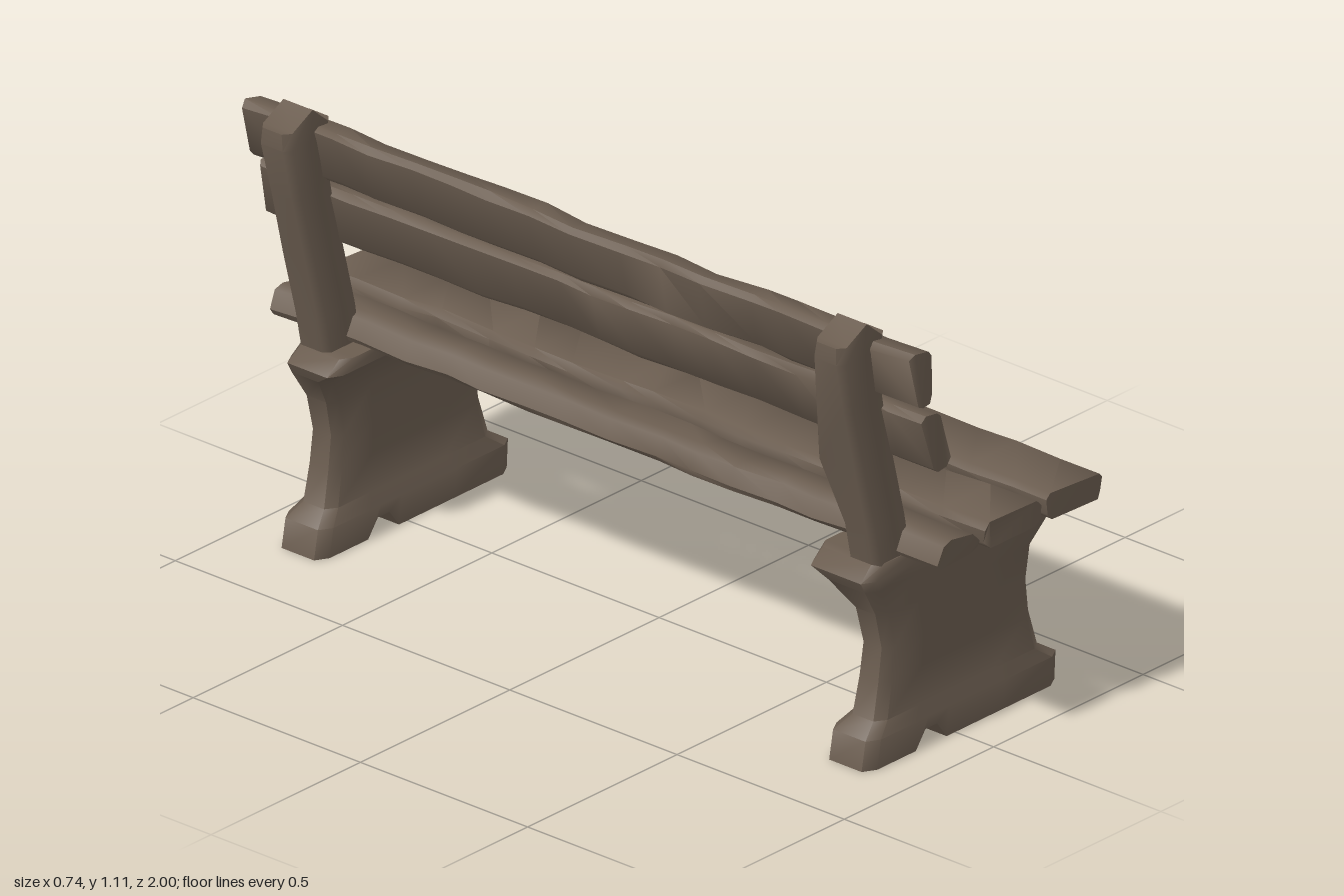
import * as THREE from 'three';
import { toCreasedNormals } from 'three/addons/utils/BufferGeometryUtils.js';

// Skins a stack of equal-length rings (counter-clockwise about the stacking axis), capped at both ends
function loft(rings) {
  const n = rings[0].length, last = (rings.length - 1) * n, index = [];
  for (let r = 0; r < rings.length - 1; r++) {
    for (let i = 0; i < n; i++) {
      const a = r * n + i, b = r * n + (i + 1) % n;
      index.push(a, b, b + n, a, b + n, a + n);
    }
  }
  for (let i = 0; i < n / 2 - 1; i++) {
    const a = i, b = i + 1, c = n - 2 - i, d = n - 1 - i;
    index.push(a, c, b, a, d, c);
    index.push(last + a, last + b, last + c, last + a, last + c, last + d);
  }
  const geo = new THREE.BufferGeometry();
  geo.setAttribute('position', new THREE.Float32BufferAttribute(rings.flat(2), 3));
  geo.setIndex(index);
  return toCreasedNormals(geo, 0.87);
}

function seeded(seed) {
  return () => {
    seed = (seed * 16807) % 2147483647;
    return seed / 2147483647 - 0.5;
  };
}

// Rough-hewn plank along z; corners run counter-clockwise in x, y and get chamfered
function plank(corners, seed) {
  const rnd = seeded(seed), segs = 16, rings = [];
  const section = [];
  corners.forEach((p, i) => {
    for (const q of [corners[(i + 3) % 4], corners[(i + 1) % 4]]) {
      const len = Math.hypot(q[0] - p[0], q[1] - p[1]);
      const t = 0.016 / len;
      section.push([p[0] + (q[0] - p[0]) * t, p[1] + (q[1] - p[1]) * t]);
    }
  });
  const cx = corners.reduce((s, p) => s + p[0], 0) / 4;
  const cy = corners.reduce((s, p) => s + p[1], 0) / 4;
  for (let k = 0; k <= segs; k++) {
    const end = k === 0 || k === segs;
    const z = -0.995 + 1.99 * k / segs + (end ? 0 : rnd() * 0.05);
    const dx = rnd() * 0.008, dy = rnd() * 0.006, s = 0.98 + rnd() * 0.05;
    rings.push(section.map(([x, y]) => [
      cx + (x - cx) * s + dx + rnd() * 0.006,
      cy + (y - cy) * s + dy + rnd() * 0.006,
      z + (end ? rnd() * 0.012 : 0),
    ]));
  }
  return loft(rings);
}

// Upright slab: levels are [y, back x, front x, inner z, outer z]; lift raises points of a level
function upright(levels, columns, side, pinch, lift) {
  return loft(levels.map(([y, x0, x1, inner, outer], r) => {
    const zHi = Math.max(side * inner, side * outer), zLo = Math.min(side * inner, side * outer);
    const point = (t, front) => {
      const p = t === 0 || t === 1 ? pinch : 0;
      return [x0 + (x1 - x0) * t, y + lift(r, t), front ? zHi - p : zLo + p];
    };
    return [...columns.map(t => point(t, true)), ...[...columns].reverse().map(t => point(t, false))];
  }));
}

export function createModel() {
  const group = new THREE.Group();
  const wood = new THREE.MeshStandardMaterial({ color: 0x6b5d50 });
  wood.name = 'weathered wood';
  const add = (name, geo) => {
    const mesh = new THREE.Mesh(geo, wood);
    mesh.name = name;
    group.add(mesh);
  };

  // Seat planks, back to front
  add('rearSeatPlank', plank([[-0.19, 0.495], [-0.05, 0.495], [-0.045, 0.545], [-0.155, 0.565]], 11));
  add('middleSeatPlank', plank([[-0.025, 0.49], [0.16, 0.487], [0.163, 0.55], [-0.028, 0.558]], 23));
  add('frontSeatPlank', plank([[0.185, 0.49], [0.367, 0.485], [0.367, 0.552], [0.18, 0.558]], 37));

  // Backrest planks
  add('lowerBackPlank', plank([[-0.195, 0.742], [-0.136, 0.752], [-0.167, 0.892], [-0.23, 0.895]], 53));
  add('upperBackPlank', plank([[-0.25, 0.912], [-0.192, 0.918], [-0.2, 1.05], [-0.28, 1.062]], 71));

  for (const side of [1, -1]) {
    const label = side > 0 ? 'left' : 'right';

    // Waisted leg slab with spreading feet, a notch underneath and a bracket flare on top
    const wide = side > 0 ? 0.69 : 0.72;
    add(label + 'Leg', upright([
      [0, -0.293, 0.352, 0.752, 0.885],
      [0.07, -0.28, 0.356, 0.752, 0.885],
      [0.1, -0.237, 0.31, 0.772, 0.87],
      [0.19, -0.218, 0.283, 0.776, 0.868],
      [0.27, -0.207, 0.274, 0.778, 0.868],
      [0.36, -0.228, 0.29, 0.774, 0.868],
      [0.43, -0.27, 0.365, wide + 0.04, 0.875],
      [0.458, -0.285, 0.37, wide, 0.875],
      [0.49, -0.245, 0.34, wide, 0.87],
    ], [0, 0.05, 0.25, 0.3, 0.36, 0.41, 0.7, 0.95, 1], side, 0.018,
    (r, t) => (r === 0 && t >= 0.3 && t <= 0.36 ? 0.043 : 0)));

    // Leaning back post with a peaked top
    const twist = side > 0 ? 0.04 : 0;
    add(label + 'BackPost', upright([
      [0.45, -0.235, -0.11, 0.775, 0.868],
      [0.58, -0.262, -0.135, 0.775, 0.868],
      [0.74, -0.302, -0.176, 0.775 - twist, 0.87],
      [0.9, -0.34, -0.212, 0.78 - twist / 2, 0.87],
      [1.03, -0.37, -0.225, 0.78, 0.875],
      [1.07, -0.368, -0.21, 0.785, 0.872],
    ], [0, 0.12, 0.55, 0.88, 1], side, 0.015,
    (r, t) => (r === 5 ? (t === 0.55 ? 0.035 : t > 0.6 ? -0.01 : 0) : 0)));
  }
  return group;
}
